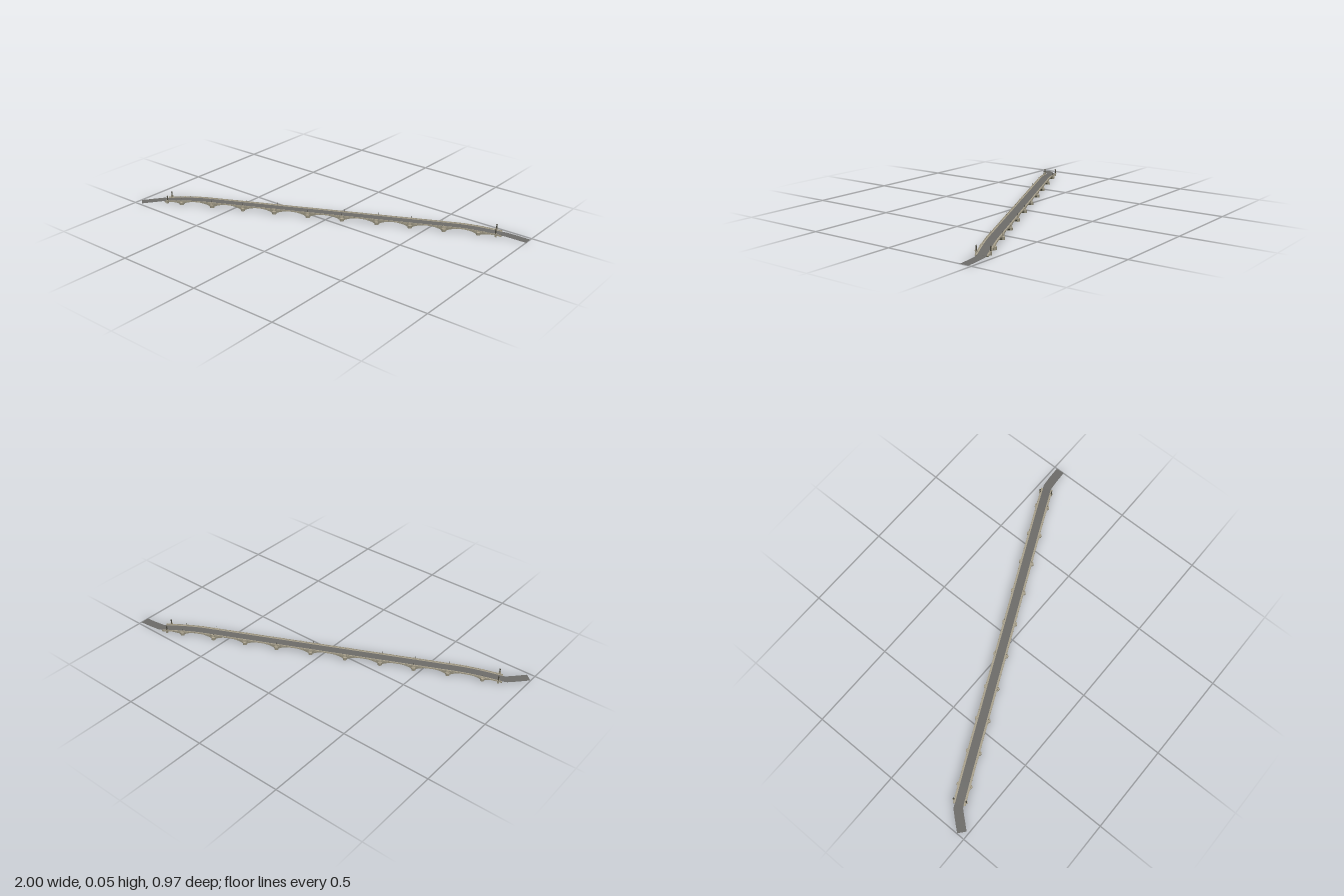
import * as THREE from 'three';

const HALF = 0.956;      // half length of the bridge
const WIDTH = 0.066;     // width over the side walls
const PIER = 0.011;      // half thickness of a pier
const mat = (color, side = THREE.FrontSide) => {
  const m = new THREE.MeshStandardMaterial({ color, side });
  return m;
};
const stone = mat(0x8f8a78), pale = mat(0xa8a08c), vault = mat(0x5c5a48);
const asphalt = mat(0x6c6b68), iron = mat(0x4a483e);
const asphaltThin = mat(0x6c6b68, THREE.DoubleSide);

// Height of the carriageway: level in the middle, sloping down at both ends
function deckY(s) {
  const t = THREE.MathUtils.clamp((HALF - Math.abs(s)) / 0.25, 0, 1);
  return 0.006 + 0.0205 * Math.sin(t * Math.PI / 2);
}

function add(parent, name, geometry, material, x = 0, y = 0, z = 0) {
  const mesh = new THREE.Mesh(geometry, material);
  mesh.name = name;
  mesh.position.set(x, y, z);
  parent.add(mesh);
  return mesh;
}

// Extrude a side profile across the bridge, centred on z
function across(shape, width) {
  const g = new THREE.ExtrudeGeometry(shape, { depth: width, bevelEnabled: false });
  g.translate(0, 0, -width / 2);
  return g;
}

// Long strip that follows the slope of the deck
function deckStrip(width, low, high) {
  const n = 64, pts = [];
  for (let i = 0; i <= n; i++) {
    const s = -HALF + 2 * HALF * i / n;
    pts.push(new THREE.Vector2(s, deckY(s) + low));
  }
  for (let i = n; i >= 0; i--) {
    const s = -HALF + 2 * HALF * i / n;
    pts.push(new THREE.Vector2(s, deckY(s) + high));
  }
  return across(new THREE.Shape(pts), width);
}

// Flat road laid along a path of [x, y, z] points
function approachRoad(points, width) {
  const p = points.map(a => new THREE.Vector3(...a)), pos = [], idx = [];
  p.forEach((c, i) => {
    const d = p[Math.min(i + 1, p.length - 1)].clone().sub(p[Math.max(i - 1, 0)]).setY(0).normalize();
    const side = new THREE.Vector3(-d.z, 0, d.x).multiplyScalar(width / 2);
    const a = c.clone().sub(side), b = c.clone().add(side);
    pos.push(a.x, a.y, a.z, b.x, b.y, b.z);
    if (i) {
      const k = 2 * i;
      idx.push(k - 2, k - 1, k, k - 1, k + 1, k);
    }
  });
  const g = new THREE.BufferGeometry();
  g.setAttribute('position', new THREE.Float32BufferAttribute(pos, 3));
  // wind every triangle so that it faces upward
  const v = i => new THREE.Vector3().fromArray(pos, 3 * i);
  for (let i = 0; i < idx.length; i += 3) {
    const a = v(idx[i]), up = v(idx[i + 1]).sub(a).cross(v(idx[i + 2]).sub(a)).y;
    if (up < 0) [idx[i + 1], idx[i + 2]] = [idx[i + 2], idx[i + 1]];
  }
  g.setIndex(idx);
  g.computeVertexNormals();
  return g;
}

// Pier positions: the middle spans are slightly longer
const piers = [];
for (let i = 0, s = -0.853; i < 10; i++) {
  piers.push(s);
  s += i > 2 && i < 6 ? 0.194 : 0.184;
}

// Side profile of the masonry: sloping top, arched underside
function bodyShape() {
  const pts = [], n = 64;
  for (let i = 0; i <= n; i++) {
    const s = HALF - 2 * HALF * i / n;
    pts.push(new THREE.Vector2(s, deckY(s)));
  }
  const supports = [-HALF - 0.004, ...piers, HALF + 0.004];
  for (let i = 0; i < supports.length - 1; i++) {
    const a = supports[i] + PIER, b = supports[i + 1] - PIER, mid = (a + b) / 2;
    const end = i === 0 || i === supports.length - 2;
    const crown = end ? 0.0085 : Math.min(0.0235, deckY(mid) - 0.003);
    const spring = end ? 0.001 : 0.003;
    pts.push(new THREE.Vector2(Math.max(supports[i] - PIER, -HALF), 0), new THREE.Vector2(a, 0));
    for (let k = 0; k <= 16; k++) {
      const u = k / 8 - 1;
      const rise = 0.55 * (1 - u * u) + 0.45 * Math.sqrt(1 - u * u);
      pts.push(new THREE.Vector2(mid + u * (b - a) / 2, spring + (crown - spring) * rise));
    }
    pts.push(new THREE.Vector2(b, 0));
  }
  pts.push(new THREE.Vector2(HALF, 0));
  // drop repeated corners
  return new THREE.Shape(pts.filter((p, i) => !i || p.distanceTo(pts[i - 1]) > 1e-5));
}

export function createModel() {
  const model = new THREE.Group();
  model.name = 'archBridge';
  const bridge = new THREE.Group();
  bridge.name = 'bridge';
  bridge.position.set(-0.0135, 0, -0.038);
  bridge.rotation.y = THREE.MathUtils.degToRad(25.05);
  model.add(bridge);

  // Masonry: stone faces, dark vaults
  add(bridge, 'archedBody', across(bodyShape(), 0.062), [stone, vault]);
  add(bridge, 'roadway', deckStrip(0.046, 0, 0.0006), asphalt);

  // Pavements, cornices and parapets on both edges
  for (const side of [-1, 1]) {
    add(bridge, 'pavement', deckStrip(0.009, -0.001, 0.0015), pale, 0, 0, side * 0.0275);
    add(bridge, 'cornice', deckStrip(0.004, -0.0018, 0), pale, 0, 0, side * 0.032);
    add(bridge, 'parapet', deckStrip(0.002, 0, 0.0038), stone, 0, 0, side * 0.0322);
    add(bridge, 'handrail', deckStrip(0.003, 0.0036, 0.0046), pale, 0, 0, side * 0.0322);
    for (let i = 0; i <= 60; i++) {
      const s = -0.95 + 1.9 * i / 60;
      add(bridge, 'parapetPost', new THREE.BoxGeometry(0.004, 0.0054, 0.0036), stone,
        s, deckY(s) + 0.0024, side * 0.0322);
    }
  }

  // Rounded cutwaters with conical caps, and a lamp above each
  for (const s of piers) for (const side of [-1, 1]) {
    const pier = new THREE.Group();
    pier.name = 'pier';
    pier.position.set(s, 0, side * 0.031);
    bridge.add(pier);
    const h = Math.min(0.016, deckY(s) - 0.004), top = deckY(s);
    add(pier, 'cutwater', new THREE.CylinderGeometry(0.0105, 0.0115, h, 16), stone, 0, h / 2, 0);
    add(pier, 'cutwaterCap', new THREE.ConeGeometry(0.0115, 0.005, 16), pale, 0, h + 0.0025, 0);
    add(pier, 'pilaster', new THREE.BoxGeometry(0.013, top + 0.004, 0.010), pale, 0, (top + 0.004) / 2, 0);
    add(pier, 'lampPost', new THREE.CylinderGeometry(0.0004, 0.0007, 0.012, 6), iron, 0, top + 0.01, 0);
    add(pier, 'lantern', new THREE.CylinderGeometry(0.0011, 0.0006, 0.0022, 6), iron, 0, top + 0.0155, 0);
  }

  // Tall columns at the four corners
  for (const s of [-0.937, 0.925]) for (const side of [-1, 1]) {
    const column = new THREE.Group();
    column.name = 'cornerColumn';
    column.position.set(s, 0, side * 0.034);
    bridge.add(column);
    add(column, 'pedestal', new THREE.BoxGeometry(0.010, 0.018, 0.010), stone, 0, 0.009, 0);
    add(column, 'pedestalCap', new THREE.BoxGeometry(0.012, 0.002, 0.012), pale, 0, 0.019, 0);
    const profile = [[0, 0], [0.0042, 0], [0.0034, 0.003], [0.003, 0.017], [0.0042, 0.019],
      [0.0042, 0.021], [0.002, 0.023], [0, 0.027]].map(p => new THREE.Vector2(...p));
    add(column, 'shaft', new THREE.LatheGeometry(profile, 12), iron, 0, 0.02, 0);
  }

  // Approach roads bending away at each end
  add(model, 'leftApproach', approachRoad(
    [[0.845, 0.0068, -0.44], [0.872, 0.005, -0.45], [0.93, 0.0025, -0.456], [1, 0.0003, -0.46]], 0.05), asphaltThin);
  add(model, 'rightApproach', approachRoad(
    [[-0.87, 0.0068, 0.362], [-0.898, 0.005, 0.376], [-0.935, 0.0025, 0.418], [-0.979, 0.0003, 0.47]], 0.05), asphaltThin);
  return model;
}
